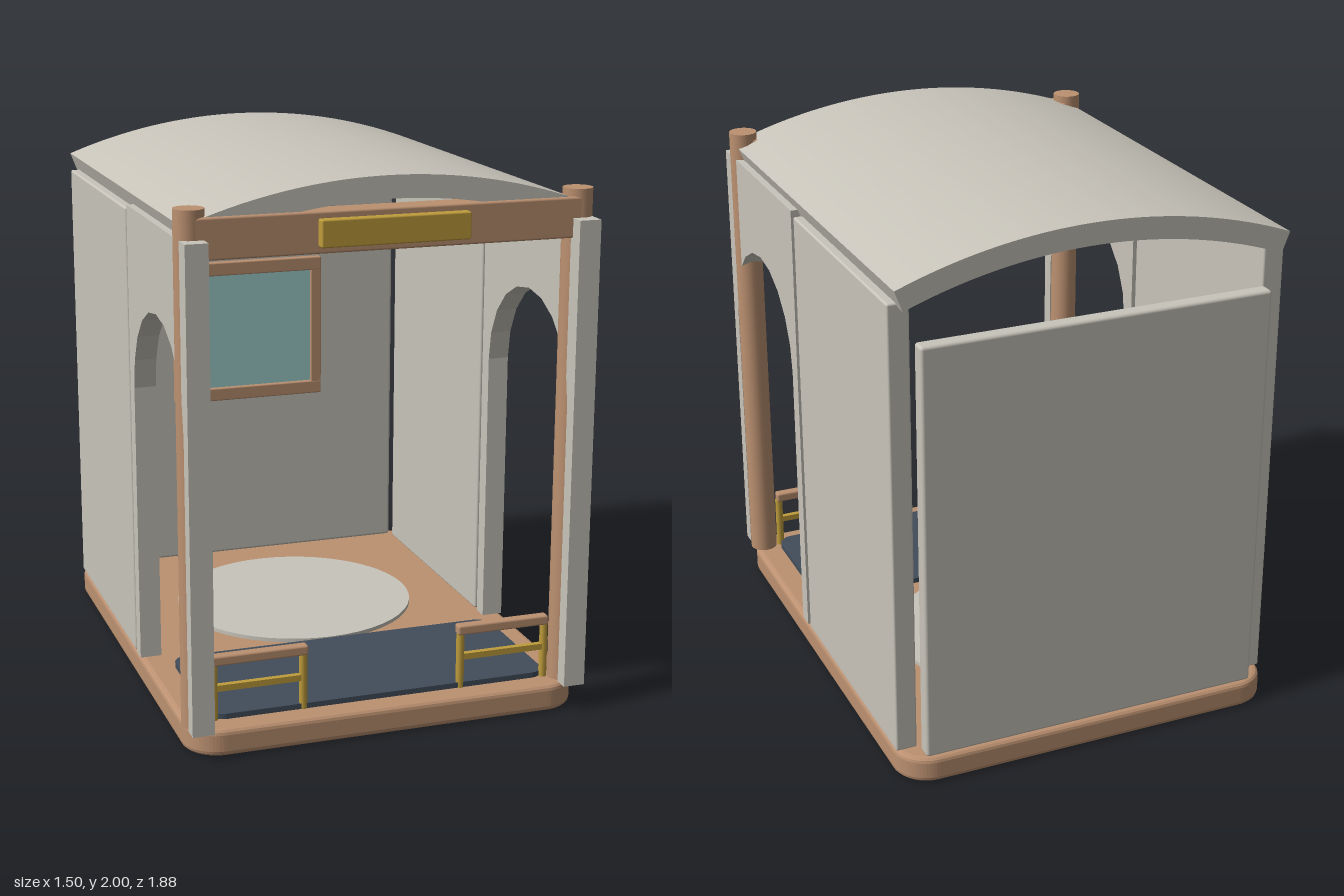
import * as THREE from 'three';
import { RoundedBoxGeometry } from 'three/addons/geometries/RoundedBoxGeometry.js';

const mat = (name, color) => {
  const m = new THREE.MeshStandardMaterial({ color });
  m.name = name;
  return m;
};

export function createModel() {
  const stone = mat('stone', 0xc8c4ba);
  const wood = mat('wood', 0xbc9171);
  const gold = mat('gold', 0xbf9d3c);
  const glass = mat('glass', 0x9fd0cc);
  const navy = mat('navy', 0x414d5a);
  const model = new THREE.Group();

  const add = (name, geo, material, x = 0, y = 0, z = 0, parent = model) => {
    const m = new THREE.Mesh(geo, material);
    m.name = name;
    m.position.set(x, y, z);
    parent.add(m);
    return m;
  };

  // Box given by its extents, with optional softened edges
  const box = (name, material, [x0, x1], [y0, y1], [z0, z1], r = 0, parent = model) => {
    const s = [x1 - x0, y1 - y0, z1 - z0];
    const geo = r ? new RoundedBoxGeometry(...s, 2, r) : new THREE.BoxGeometry(...s);
    return add(name, geo, material, (x0 + x1) / 2, (y0 + y1) / 2, (z0 + z1) / 2, parent);
  };

  // Flat slab with rounded plan corners, standing on y = 0
  const slab = (w, d, h, r, bevel) => {
    const a = w / 2 - bevel, b = d / 2 - bevel, s = new THREE.Shape();
    s.absarc(a - r, b - r, r, 0, Math.PI / 2);
    s.absarc(-a + r, b - r, r, Math.PI / 2, Math.PI);
    s.absarc(-a + r, -b + r, r, Math.PI, Math.PI * 1.5);
    s.absarc(a - r, -b + r, r, Math.PI * 1.5, Math.PI * 2);
    s.closePath();
    const geo = new THREE.ExtrudeGeometry(s, {
      depth: h - 2 * bevel, bevelEnabled: bevel > 0, bevelSize: bevel,
      bevelThickness: bevel, bevelSegments: 3, curveSegments: 8,
    });
    return geo.translate(0, 0, bevel).rotateX(-Math.PI / 2);
  };

  // Base, mat and round floor disc
  add('base', slab(1.48, 1.86, 0.1, 0.11, 0.02), wood, 0, 0, -0.01);
  add('floorMat', slab(1.28, 0.56, 0.02, 0.06, 0), navy, 0, 0.1, 0.55);
  add('floorDisc', new THREE.CylinderGeometry(0.47, 0.47, 0.015, 48), stone, 0, 0.1075, -0.22);

  // Arched front side panel, outlined in z and y
  const arch = new THREE.Shape();
  arch.moveTo(0.13, 0.1);
  arch.lineTo(0.19, 0.1);
  for (let i = 0; i <= 10; i++) {
    const a = Math.PI * (1 - i / 10);
    arch.lineTo(0.54 + 0.35 * Math.cos(a), 1.155 + 0.35 * Math.sin(a));
  }
  arch.lineTo(0.89, 0.1);
  arch.lineTo(0.945, 0.1);
  arch.lineTo(0.945, 1.82);
  arch.lineTo(0.13, 1.82);
  arch.closePath();
  const archGeo = new THREE.ExtrudeGeometry(arch, { depth: 0.08, bevelEnabled: false })
    .rotateY(-Math.PI / 2).translate(0.04, 0, 0);

  // Parts repeated on both sides
  for (const s of [-1, 1]) {
    const side = s > 0 ? 'left' : 'right';
    const span = (a, b) => (s > 0 ? [a, b] : [-b, -a]);
    add(side + 'ArchPanel', archGeo, stone, s * 0.7, 0, 0);
    box(side + 'RearPanel', stone, span(0.66, 0.74), [0.1, 1.805], [-0.845, 0.105], 0.008);
    add(side + 'FrontPost', new THREE.CylinderGeometry(0.053, 0.053, 1.82, 24), wood, s * 0.698, 1.01, 0.838);

    const railing = new THREE.Group();
    railing.name = side + 'Railing';
    model.add(railing);
    box('topRail', wood, span(0.285, 0.64), [0.305, 0.342], [0.8, 0.84], 0.008, railing);
    box('midRail', gold, span(0.3, 0.63), [0.207, 0.23], [0.809, 0.831], 0, railing);
    for (const x of [0.3, 0.63])
      add('railPost', new THREE.CylinderGeometry(0.015, 0.015, 0.21, 10), gold, s * x, 0.205, 0.82, railing);
  }

  // Front beam with its blank plaque
  box('frontBeam', wood, [-0.7, 0.7], [1.75, 1.893], [0.79, 0.89], 0.008);
  box('plaque', gold, [-0.267, 0.267], [1.775, 1.87], [0.88, 0.925], 0.006);

  // Back wall with framed window
  box('backWall', stone, [-0.655, 0.655], [0.1, 1.67], [-0.925, -0.865], 0.012);
  const frame = new THREE.Group();
  frame.name = 'windowFrame';
  model.add(frame);
  for (const y of [[0.79, 0.845], [1.33, 1.387]])
    box('frameRail', wood, [-0.323, 0.323], y, [-0.87, -0.835], 0.006, frame);
  for (const x of [[-0.323, -0.278], [0.278, 0.323]])
    box('frameStile', wood, x, [0.8, 1.38], [-0.87, -0.836], 0.004, frame);
  box('windowPane', glass, [-0.285, 0.285], [0.835, 1.34], [-0.862, -0.854]);

  // Barrel roof: an arc-shaped section run front to back
  const R = 2.04, half = Math.asin(0.73 / R), cy = 2 - R;
  const roof = new THREE.Shape();
  roof.absarc(0, cy, R, Math.PI / 2 - half, Math.PI / 2 + half, false);
  roof.absarc(0, cy, R - 0.08, Math.PI / 2 + half, Math.PI / 2 - half, true);
  roof.closePath();
  const roofGeo = new THREE.ExtrudeGeometry(roof, { depth: 1.768, bevelEnabled: false, curveSegments: 24 });
  add('roof', roofGeo, stone, 0, 0, -0.893);

  // Ceiling lamp
  add('lampMount', new THREE.CylinderGeometry(0.15, 0.15, 0.04, 32), gold, 0, 1.9, 0);
  add('lampDome', new THREE.SphereGeometry(0.15, 32, 12, 0, Math.PI * 2, Math.PI / 2, Math.PI / 2), stone, 0, 1.88, 0);

  return model;
}
